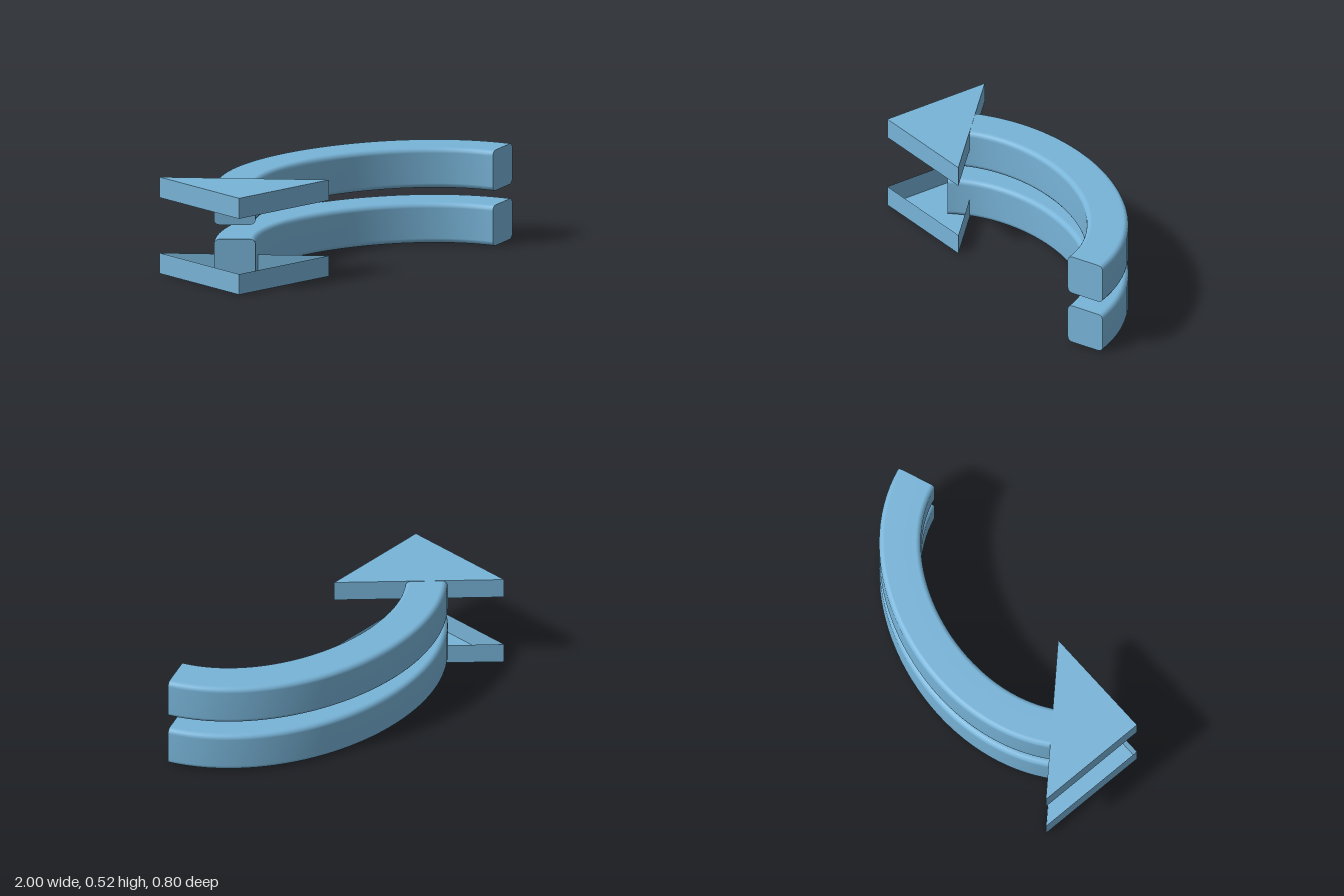
import * as THREE from 'three';

const blue = new THREE.MeshStandardMaterial({ color: 0x78b4d8, side: THREE.DoubleSide });
blue.name = 'sky blue';

const HALF = 0.11;      // half the width and height of the bent bar
const RADIUS = 0.028;   // rounding of its long edges
const STEPS = 40;
const HEAD_DEPTH = 0.111;
const TOTAL = 0.522;

// Centre line of the bar: (x, z) plan, from the tail to the arrowhead
const path = new THREE.CubicBezierCurve(
  new THREE.Vector2(0.904, 0.108), new THREE.Vector2(0.581, -0.425),
  new THREE.Vector2(-0.415, -0.425), new THREE.Vector2(-0.738, 0.108));

// Rounded square cross-section, counter-clockwise
function section() {
  const points = [];
  for (let c = 0; c < 4; c++) {
    const mid = Math.PI / 4 + c * Math.PI / 2;
    const cx = Math.sign(Math.cos(mid)) * (HALF - RADIUS);
    const cy = Math.sign(Math.sin(mid)) * (HALF - RADIUS);
    for (let s = 0; s <= 4; s++) {
      const a = (c + s / 4) * Math.PI / 2;
      points.push([cx + RADIUS * Math.cos(a), cy + RADIUS * Math.sin(a)]);
    }
  }
  return points;
}

// Sweep the section along the path and close both ends with flat caps
function barGeometry(y) {
  const ring = section(), n = ring.length;
  const positions = [], index = [];
  const addRing = (t) => {
    const p = path.getPoint(t), d = path.getTangent(t);
    for (const [w, h] of ring) positions.push(p.x - d.y * w, y + h, p.y + d.x * w);
  };
  for (let i = 0; i <= STEPS; i++) addRing(i / STEPS);
  for (let i = 0; i < STEPS; i++) {
    for (let k = 0; k < n; k++) {
      const a = i * n + k, b = i * n + (k + 1) % n;
      index.push(a, a + n, b + n, a, b + n, b);
    }
  }
  for (const end of [0, 1]) {
    const base = positions.length / 3;
    addRing(end);
    for (let k = 1; k < n - 1; k++) {
      if (end) index.push(base, base + k + 1, base + k);
      else index.push(base, base + k, base + k + 1);
    }
  }
  const geometry = new THREE.BufferGeometry();
  geometry.setAttribute('position', new THREE.Float32BufferAttribute(positions, 3));
  geometry.setIndex(index);
  geometry.computeVertexNormals();
  return geometry;
}

// Hollow triangular head: one flat plate and three thin walls, open on the inner side
function arrowhead(plateY, wallY) {
  const head = new THREE.Group();
  head.name = 'arrowhead';
  const corners = [[-1, -0.225], [-0.885, 0.4], [-0.265, 0.285]].map(([x, z]) => new THREE.Vector2(x, z));

  const plate = new THREE.Mesh(new THREE.ShapeGeometry(new THREE.Shape(corners)).rotateX(Math.PI / 2), blue);
  plate.name = 'arrowheadPlate';
  plate.position.y = plateY;
  head.add(plate);

  corners.forEach((a, i) => {
    const b = corners[(i + 1) % 3];
    const wall = new THREE.Mesh(new THREE.PlaneGeometry(a.distanceTo(b), HEAD_DEPTH), blue);
    wall.name = 'arrowheadWall';
    wall.position.set((a.x + b.x) / 2, wallY, (a.y + b.y) / 2);
    wall.rotation.y = -Math.atan2(b.y - a.y, b.x - a.x);
    head.add(wall);
  });
  return head;
}

export function createModel() {
  const model = new THREE.Group();
  model.name = 'curvedArrowPair';
  // Lower arrow and its vertical mirror image
  for (const upper of [false, true]) {
    const flip = (y) => (upper ? TOTAL - y : y);
    const arrow = new THREE.Group();
    arrow.name = upper ? 'upperArrow' : 'lowerArrow';
    const bar = new THREE.Mesh(barGeometry(flip(HALF + 0.002)), blue);
    bar.name = 'curvedBar';
    arrow.add(bar, arrowhead(flip(0), flip(HEAD_DEPTH / 2)));
    model.add(arrow);
  }
  return model;
}
